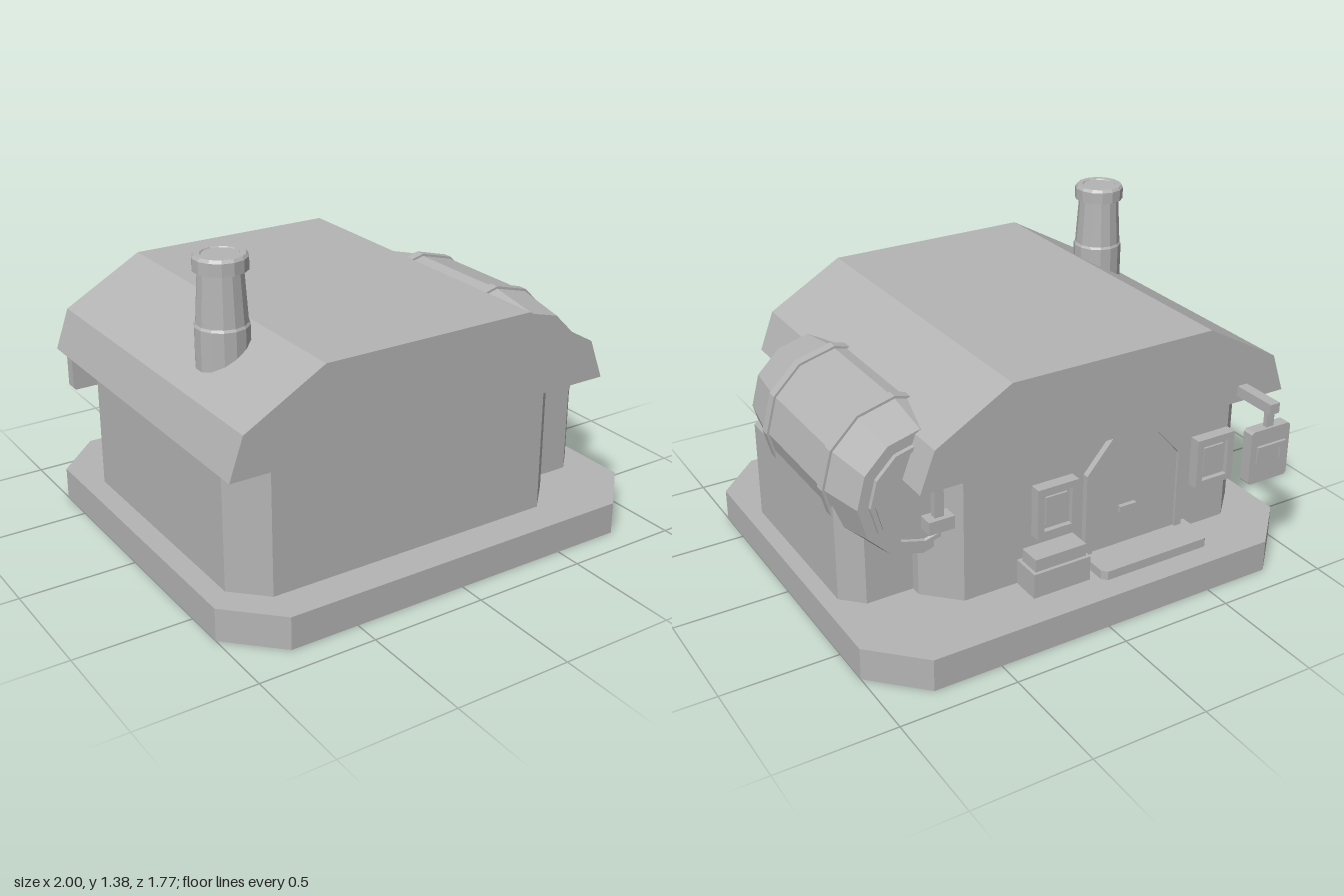
import * as THREE from 'three';

const stone = new THREE.MeshStandardMaterial({ color: 0xb4b4b4, flatShading: true, side: THREE.DoubleSide });
stone.name = 'plain grey';

export function createModel() {
  const model = new THREE.Group();
  model.name = 'cottage';

  const add = (name, geometry, parent = model) => {
    const mesh = new THREE.Mesh(geometry, stone);
    mesh.name = name;
    parent.add(mesh);
    return mesh;
  };
  const group = (name) => {
    const g = new THREE.Group();
    g.name = name;
    model.add(g);
    return g;
  };
  // Box given by its limits on each axis
  const box = (name, [x0, x1], [y0, y1], [z0, z1], parent) =>
    add(name, new THREE.BoxGeometry(x1 - x0, y1 - y0, z1 - z0)
      .translate((x0 + x1) / 2, (y0 + y1) / 2, (z0 + z1) / 2), parent);
  const extrude = (points, depth) => new THREE.ExtrudeGeometry(
    new THREE.Shape(points.map(([x, y]) => new THREE.Vector2(x, y))), { depth, bevelEnabled: false });
  // Upright prism over a plan of [x, z] corners
  const prism = (plan, y0, y1) =>
    extrude(plan.map(([x, z]) => [x, -z]), y1 - y0).rotateX(-Math.PI / 2).translate(0, y0, 0);
  // Rectangle with cut corners
  const octagon = (x0, x1, z0, z1, c) => [
    [x0 + c, z0], [x1 - c, z0], [x1, z0 + c], [x1, z1 - c],
    [x1 - c, z1], [x0 + c, z1], [x0, z1 - c], [x0, z0 + c]];
  const lathe = (points, sides) =>
    new THREE.LatheGeometry(points.map(([r, y]) => new THREE.Vector2(r, y)), sides);

  // Base slab, open underneath: drop the lower cap of the prism
  const slab = prism(octagon(-1, 1, -0.885, 0.885, 0.205), 0, 0.14);
  const skip = slab.groups[0].count / 2;
  const base = new THREE.BufferGeometry();
  base.setAttribute('position',
    new THREE.BufferAttribute(slab.attributes.position.array.slice(skip * 3), 3));
  base.computeVertexNormals();
  add('base', base);

  // House walls and roof
  add('walls', prism(octagon(-0.91, 0.64, -0.61, 0.73, 0.133), 0.14, 0.74));
  add('roof', extrude([[-1, 0.715], [0.725, 0.715], [0.66, 0.885], [0.33, 1.075],
    [-0.6, 1.075], [-0.94, 0.885]], 1.5).translate(0, 0, -0.675));

  // Chimney with foot and cap
  const chimney = lathe([[0, 0.8], [0.107, 0.8], [0.107, 1.1], [0.101, 1.11], [0.088, 1.315],
    [0.107, 1.315], [0.107, 1.365], [0.098, 1.377], [0.075, 1.377], [0.072, 1.372], [0, 1.372]], 14);
  add('chimney', chimney.translate(-0.745, 0, 0.34));

  // Lying tank with bands and an end lid
  const tank = group('tank');
  tank.position.set(0.64, 0.63, 0);
  const round = (name, points) => add(name, lathe(points, 12).rotateX(Math.PI / 2), tank);
  round('tankBody', [[0, -0.525], [0.27, -0.525], [0.312, -0.32], [0.312, 0.25], [0.27, 0.49], [0, 0.49]]);
  for (const z of [-0.303, 0.232]) {
    round('tankBand', [[0.3, z - 0.022], [0.322, z - 0.022], [0.322, z + 0.022], [0.3, z + 0.022]]);
  }
  round('tankLid', [[0, -0.535], [0.2, -0.535], [0.205, -0.545], [0.225, -0.545], [0.225, -0.52]]);

  // Block carrying the tank
  add('tankSupport', prism([[0.5, -0.43], [0.845, -0.43], [0.93, -0.345], [0.93, 0.43],
    [0.845, 0.515], [0.5, 0.515]], 0.14, 0.57));

  // Door at the back, with frame, handle and step
  const door = group('door');
  const arch = (x0, x1, shoulder, top, cut) => [[x0, 0.14], [x1, 0.14], [x1, shoulder],
    [x1 - cut, top], [x0 + cut, top], [x0, shoulder]];
  const frame = new THREE.Shape(arch(-0.535, -0.045, 0.55, 0.69, 0.12).map((p) => new THREE.Vector2(...p)));
  frame.holes.push(new THREE.Path(arch(-0.5, -0.08, 0.535, 0.66, 0.11)
    .map(([x, y]) => new THREE.Vector2(x, Math.max(y, 0.15)))));
  const frameGeometry = new THREE.ExtrudeGeometry(frame, { depth: 0.035, bevelEnabled: false });
  add('doorFrame', frameGeometry.translate(0, 0, -0.637), door);
  add('doorPanel', extrude(arch(-0.5, -0.08, 0.535, 0.66, 0.11), 0.025).translate(0, 0, -0.625), door);
  box('doorHandle', [-0.29, -0.21], [0.335, 0.365], [-0.645, -0.62], door);
  add('doorStep', prism([[-0.57, -0.6], [-0.57, -0.76], [-0.55, -0.782], [-0.06, -0.782],
    [-0.04, -0.76], [-0.04, -0.6]], 0.14, 0.18), door);

  // Two framed windows
  for (const x of [0.105, -0.68]) {
    const window = group('window');
    box('windowPane', [x - 0.08, x + 0.08], [0.36, 0.55], [-0.638, -0.6], window);
    for (const s of [-1, 1]) {
      box('windowSide', [x + s * 0.08 - 0.015, x + s * 0.08 + 0.015], [0.345, 0.57], [-0.66, -0.6], window);
      box('windowRail', [x - 0.066, x + 0.066], [0.4425 + s * 0.1125, 0.4725 + s * 0.1125]
        .map((y) => y - (s > 0 ? 0.015 : -0.015)), [-0.66, -0.6], window);
    }
    box('windowInset', [x - 0.05, x + 0.05], [0.395, 0.52], [-0.648, -0.63], window);
  }

  // Crate beside the door
  const crate = group('crate');
  box('crateBody', [0, 0.265], [0.14, 0.25], [-0.74, -0.61], crate);
  box('crateLid', [0.012, 0.25], [0.25, 0.305], [-0.725, -0.625], crate);

  // Lamp hanging under the eave
  const lamp = group('lamp');
  box('lampRod', [0.61, 0.65], [0.57, 0.72], [-0.645, -0.615], lamp);
  box('lampBox', [0.575, 0.685], [0.525, 0.58], [-0.665, -0.6], lamp);

  // Hanging sign on a beam
  const sign = group('sign');
  box('signBeam', [-0.805, -0.757], [0.745, 0.79], [-0.88, -0.6], sign);
  box('signRod', [-0.8, -0.762], [0.67, 0.75], [-0.86, -0.84], sign);
  add('signBoard', extrude([[-0.87, 0.44], [-0.69, 0.44], [-0.68, 0.45], [-0.68, 0.67],
    [-0.69, 0.68], [-0.87, 0.68], [-0.88, 0.67], [-0.88, 0.45]], 0.052).translate(0, 0, -0.872), sign);
  box('signBar', [-0.855, -0.71], [0.585, 0.61], [-0.885, -0.87], sign);
  box('signPeg', [-0.855, -0.83], [0.53, 0.585], [-0.88, -0.87], sign);
  box('signPeg', [-0.735, -0.71], [0.53, 0.585], [-0.88, -0.87], sign);

  return model;
}
